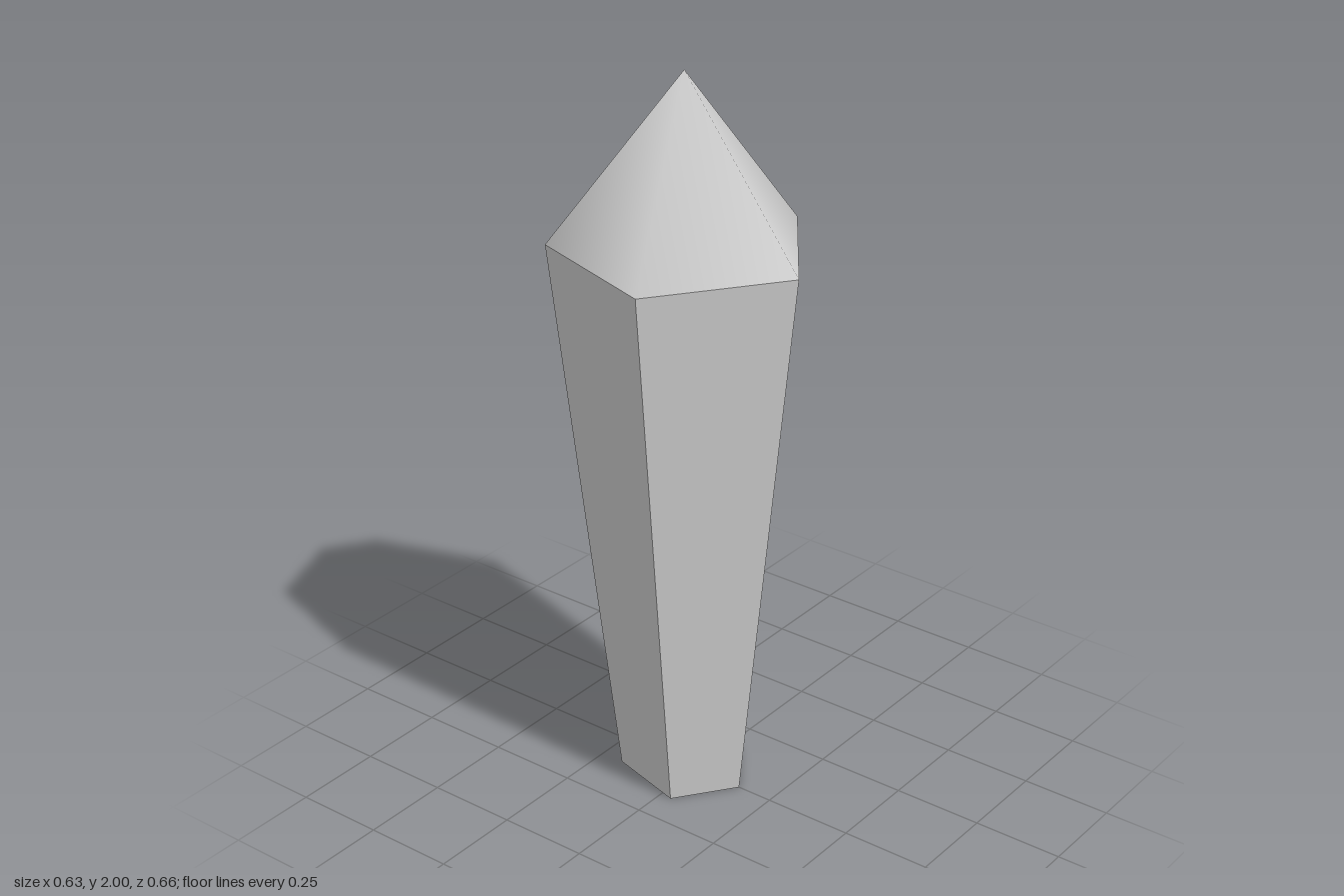
import * as THREE from 'three';

// Five-sided rings [x, z], running from the +x corner towards +z
const RIM = [[0.315, 0], [0.073, 0.332], [-0.317, 0.205], [-0.317, -0.205], [0.073, -0.332]];
const FOOT = [[0.148, 0], [0.034, 0.156], [-0.183, 0.096], [-0.183, -0.096], [0.034, -0.156]];
const RIM_Y = 1.54;
const TIP = [-0.035, 2, 0];
const N = RIM.length;

const ring = (points, y) => points.flatMap(([x, z]) => [x, y, z]);

function indexed(positions, indices) {
  const geometry = new THREE.BufferGeometry();
  geometry.setAttribute('position', new THREE.Float32BufferAttribute(positions, 3));
  geometry.setIndex(indices);
  return geometry;
}

export function createModel() {
  const group = new THREE.Group();
  group.name = 'crystal';

  // Tapered shaft with sharp faces and a closed foot
  const shaft = [];
  for (let i = 0; i < N; i++) {
    const j = (i + 1) % N;
    shaft.push(i, N + i, j, j, N + i, N + j);
    if (i > 0 && i < N - 1) shaft.push(0, i, i + 1);
  }
  const shaftGeometry = indexed([...ring(FOOT, 0), ...ring(RIM, RIM_Y)], shaft).toNonIndexed();
  shaftGeometry.computeVertexNormals();

  // Pointed cap, shaded smoothly around its shared tip
  const cap = [];
  for (let i = 0; i < N; i++) cap.push((i + 1) % N, i, N);
  const capGeometry = indexed([...ring(RIM, RIM_Y), ...TIP], cap);
  capGeometry.computeVertexNormals();

  const material = new THREE.MeshStandardMaterial({ color: 0xcccccc });
  for (const [name, geometry] of [['shaft', shaftGeometry], ['pointedCap', capGeometry]]) {
    const mesh = new THREE.Mesh(geometry, material);
    mesh.name = name;
    group.add(mesh);
  }
  return group;
}
